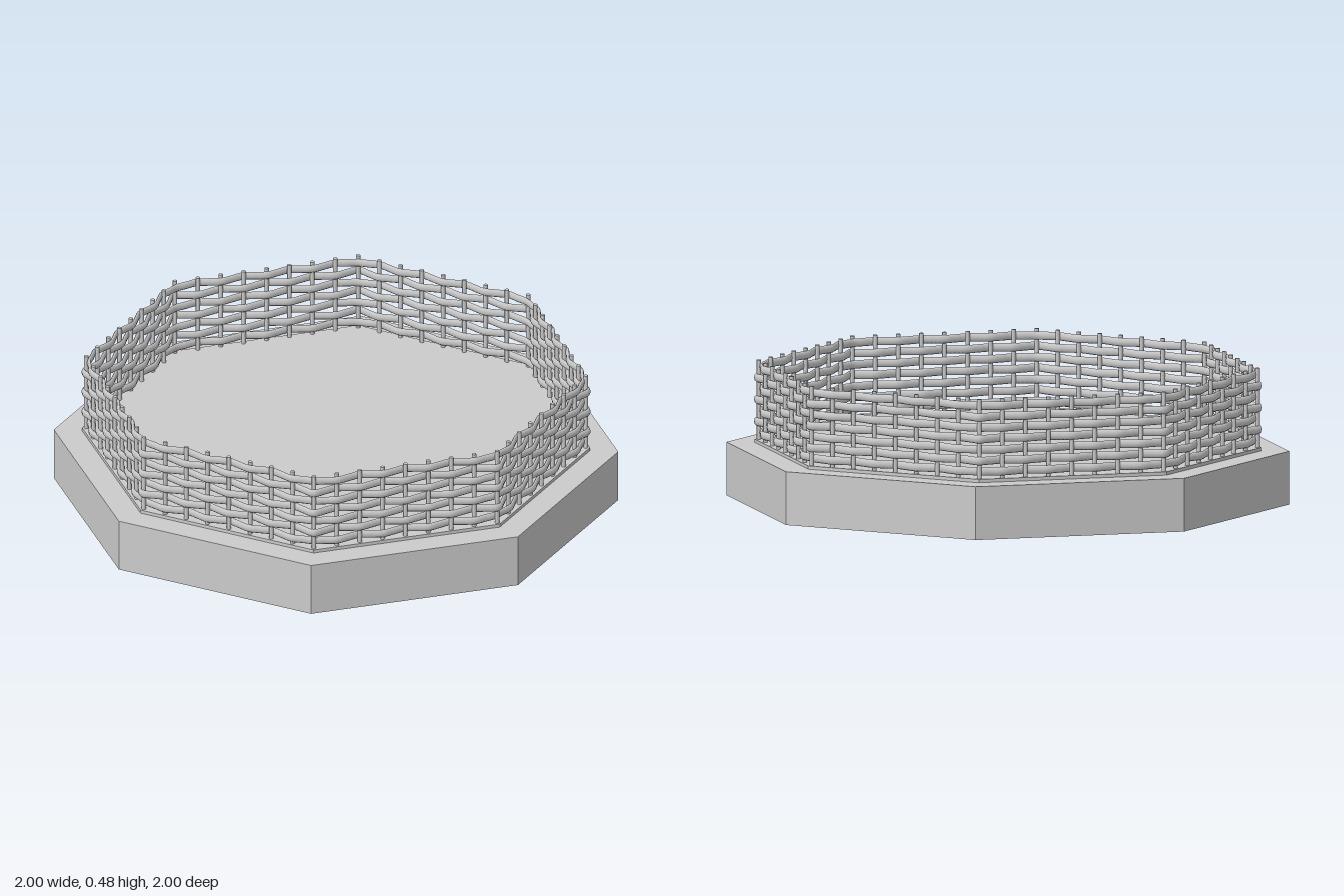
import * as THREE from 'three';

const SIDES = 8, PER_SIDE = 8, WALL_R = 0.885;

// Point on the octagonal wall line, u counted in stake intervals, pushed outward by offset
function wallPoint(u, offset) {
  const side = Math.floor(u / PER_SIDE), t = u / PER_SIDE - side;
  const corner = (i) => {
    const a = (i / SIDES) * Math.PI * 2;
    return new THREE.Vector3(Math.sin(a), 0, Math.cos(a)).multiplyScalar(WALL_R);
  };
  const p = corner(side).lerp(corner(side + 1), t);
  const a = ((side + (t === 0 ? 0 : 0.5)) / SIDES) * Math.PI * 2;
  return p.add(new THREE.Vector3(Math.sin(a) * offset, 0, Math.cos(a) * offset));
}

export function createModel() {
  const model = new THREE.Group();
  const flat = new THREE.MeshStandardMaterial({ color: 0xcccccc, flatShading: true });
  const smooth = new THREE.MeshStandardMaterial({ color: 0xcccccc });
  const add = (parent, name, geometry, material, y) => {
    const mesh = new THREE.Mesh(geometry, material);
    mesh.name = name;
    mesh.position.y = y;
    parent.add(mesh);
    return mesh;
  };

  // Octagonal slab and the thin plate carrying the wall
  add(model, 'base', new THREE.CylinderGeometry(1, 1, 0.19, SIDES), flat, 0.095);
  add(model, 'floorPlate', new THREE.CylinderGeometry(0.9, 0.9, 0.012, SIDES), flat, 0.196);

  const wall = new THREE.Group();
  wall.name = 'wovenWall';
  model.add(wall);

  // Upright stakes
  const count = SIDES * PER_SIDE;
  const stakeGeometry = new THREE.CylinderGeometry(0.008, 0.008, 0.285, 8);
  for (let i = 0; i < count; i++) {
    const stake = add(wall, 'stake', stakeGeometry, smooth, 0);
    stake.position.copy(wallPoint(i, 0)).setY(0.3425);
  }

  // Horizontal strands passing in front of and behind alternate stakes
  const strandGeometry = (phase) => {
    const points = [];
    for (let i = 0; i < count; i++) {
      points.push(wallPoint(i, (i + phase) % 2 ? 0.01 : -0.01), wallPoint(i + 0.5, 0));
    }
    const path = new THREE.CatmullRomCurve3(points, true);
    return new THREE.TubeGeometry(path, count * 6, 0.007, 8, true).scale(1, 2.1, 1);
  };
  const strands = [strandGeometry(0), strandGeometry(1)];
  for (let row = 0; row < 7; row++) {
    add(wall, 'strand', strands[row % 2], smooth, 0.227 + row * 0.039);
  }
  return model;
}
